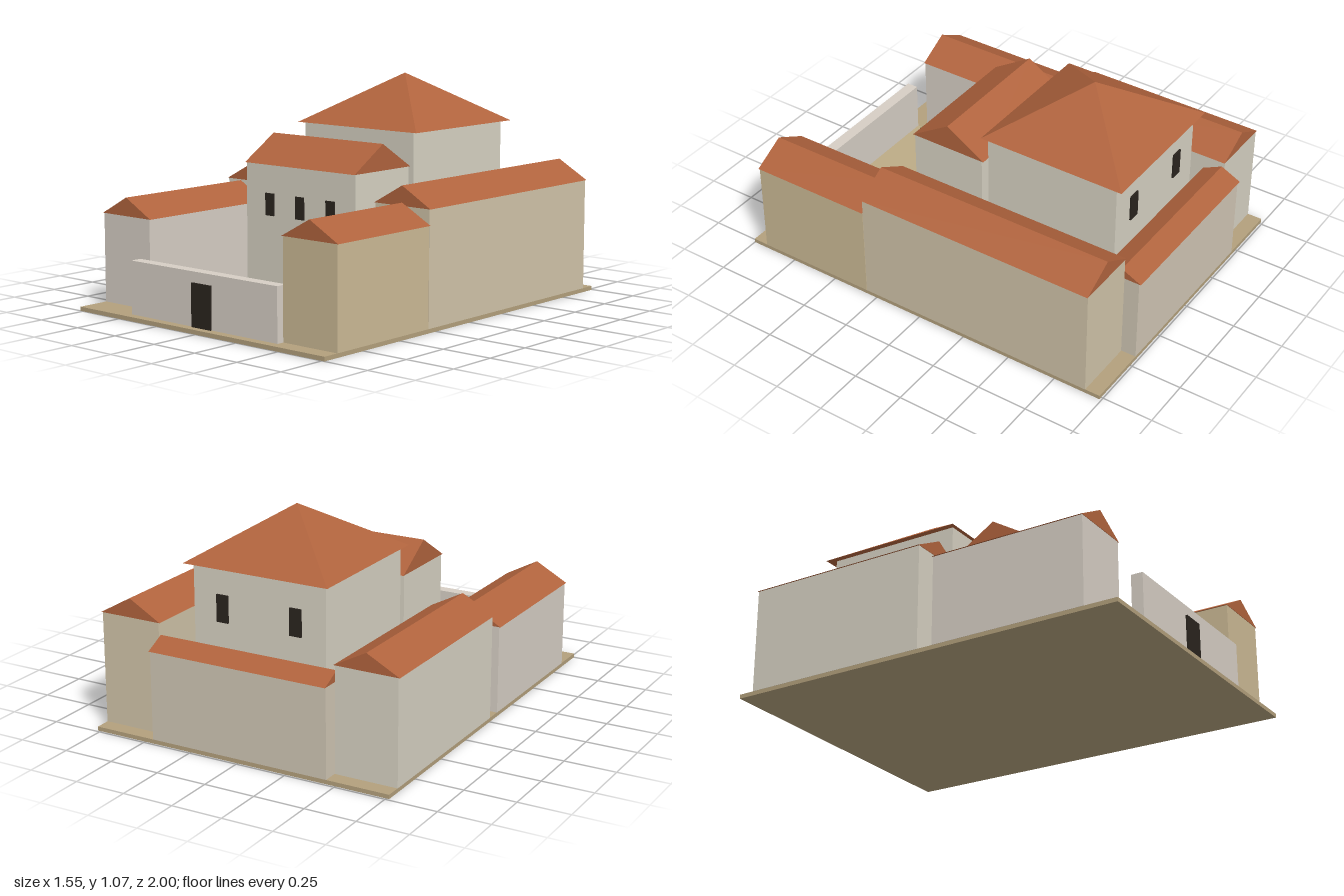
import * as THREE from 'three';

const mat = (color) => new THREE.MeshStandardMaterial({ color, flatShading: true });
const GROUND = 0.02;

export function createModel() {
  const model = new THREE.Group();
  const roofMat = mat(0xb0633d);
  const darkMat = mat(0x2a241e);
  const plaster = mat(0xd6d1c2);
  const greyPlaster = mat(0xd6cec4);

  function add(name, geometry, material, x = 0, y = 0, z = 0, parent = model) {
    const mesh = new THREE.Mesh(geometry, material);
    mesh.name = name;
    mesh.position.set(x, y, z);
    parent.add(mesh);
    return mesh;
  }

  // Box given by its limits on each axis
  function block(name, [x0, x1], [y0, y1], [z0, z1], material, parent = model) {
    return add(name, new THREE.BoxGeometry(x1 - x0, y1 - y0, z1 - z0), material,
      (x0 + x1) / 2, (y0 + y1) / 2, (z0 + z1) / 2, parent);
  }

  // Closed triangular prism with its ridge along z, or along x when turned
  function gableRoof(width, length, height, alongX) {
    const shape = new THREE.Shape();
    shape.moveTo(-width / 2, 0);
    shape.lineTo(width / 2, 0);
    shape.lineTo(0, height);
    shape.closePath();
    const g = new THREE.ExtrudeGeometry(shape, { depth: length, bevelEnabled: false });
    g.translate(0, 0, -length / 2);
    return alongX ? g.rotateY(Math.PI / 2) : g;
  }

  // Walled block under a gable roof with slight eaves
  function house(name, xs, zs, wallTop, ridgeTop, material, alongX = false, eave = 0.007) {
    const group = new THREE.Group();
    group.name = name;
    model.add(group);
    block(name + 'Walls', xs, [GROUND, wallTop], zs, material, group);
    const w = xs[1] - xs[0], d = zs[1] - zs[0];
    const across = (alongX ? d : w) + 2 * eave;
    const along = (alongX ? w : d) + 0.004;
    add(name + 'Roof', gableRoof(across, along, ridgeTop - wallTop, alongX), roofMat,
      (xs[0] + xs[1]) / 2, wallTop, (zs[0] + zs[1]) / 2, group);
  }

  // Site slab and courtyard paving
  block('groundSlab', [-0.765, 0.765], [0, GROUND], [-0.99, 1], mat(0xb3a07c));
  block('courtyardPaving', [-0.457, 0.457], [GROUND, 0.024], [-0.81, 0.9], mat(0xbcab86));

  // Side wings
  const rightX = [0.457, 0.766], leftX = [-0.766, -0.457];
  house('rightFrontWing', rightX, [0.307, 0.92], 0.485, 0.573, mat(0xcbb995));
  house('rightBackWing', rightX, [-0.915, 0.305], 0.558, 0.65, mat(0xd0c3a8));
  house('leftFrontWing', leftX, [0.077, 0.84], 0.447, 0.535, greyPlaster);
  house('leftBackWing', leftX, [-0.915, 0.0], 0.525, 0.61, plaster);

  // Rear range and central hall
  house('rearRange', [-0.455, 0.455], [-0.99, -0.81], 0.448, 0.497, mat(0xcfc5b3), true, 0.01);
  house('hall', [-0.342, 0.342], [-0.07, 0.31], 0.673, 0.797, plaster, true, 0.01);

  // Tower with pyramid roof
  block('towerWalls', [-0.342, 0.342], [GROUND, 0.83], [-0.792, -0.107], plaster);
  const pyramid = new THREE.ConeGeometry(0.373 * Math.SQRT2, 0.24, 4).rotateY(Math.PI / 4);
  add('towerRoof', pyramid, roofMat, 0, 0.95, -0.46);

  // Front courtyard wall
  block('courtyardWall', [-0.457, 0.457], [GROUND, 0.272], [0.9, 0.957], greyPlaster);

  // Doors and windows
  block('gate', [-0.06, 0.06], [GROUND, 0.222], [0.95, 0.965], darkMat);
  block('hallDoor', [-0.06, 0.06], [GROUND, 0.222], [0.3, 0.316], darkMat);
  for (const x of [-0.19, 0, 0.19])
    block('hallWindow', [x - 0.027, x + 0.027], [0.43, 0.537], [0.3, 0.316], darkMat);
  for (const x of [-0.19, 0.19])
    block('towerWindow', [x - 0.03, x + 0.03], [0.57, 0.7], [-0.8, -0.785], darkMat);

  // Courtyard tree
  add('treeTrunk', new THREE.CylinderGeometry(0.014, 0.018, 0.08, 6), mat(0x5a4028), -0.27, 0.06, 0.69);
  add('treeCrown', new THREE.SphereGeometry(0.073, 7, 5), mat(0x356b3c), -0.27, 0.135, 0.69);

  return model;
}
